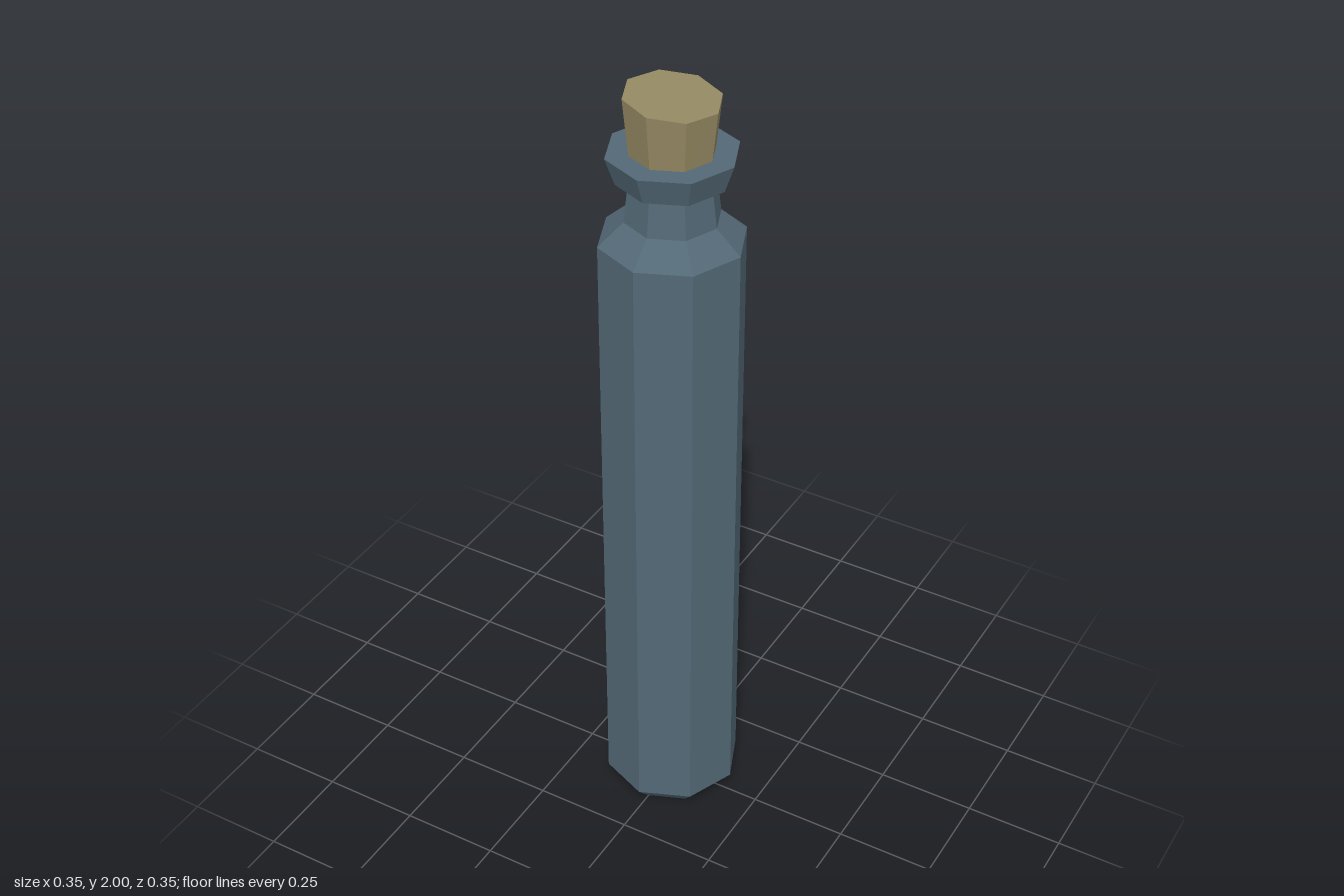
import * as THREE from 'three';

const SIDES = 8;

export function createModel() {
  const glass = new THREE.MeshStandardMaterial({ color: 0x536976, flatShading: true });
  glass.name = 'blueGreyGlass';
  const corkMat = new THREE.MeshStandardMaterial({ color: 0x958963, flatShading: true });
  corkMat.name = 'cork';

  const group = new THREE.Group();
  group.name = 'corkedVial';
  const add = (name, geometry, material) => {
    const mesh = new THREE.Mesh(geometry, material);
    mesh.name = name;
    group.add(mesh);
  };
  const lathe = (points) =>
    new THREE.LatheGeometry(points.map(([r, y]) => new THREE.Vector2(r, y)), SIDES);

  // Vial: chamfered base, long body, shoulder, neck and flared lip
  add('vial', lathe([
    [0, 0], [0.126, 0], [0.174, 0.053], [0.174, 1.637], [0.113, 1.692],
    [0.102, 1.785], [0.131, 1.79], [0.154, 1.857], [0, 1.857],
  ]), glass);

  // Stopper: widens upward, with a slanted top that is higher on -x
  const stopper = new THREE.CylinderGeometry(0.113, 0.098, 0.15, SIDES);
  stopper.translate(0, 1.913, 0);
  const pos = stopper.attributes.position;
  for (let i = 0; i < pos.count; i++) {
    if (pos.getY(i) > 1.9) pos.setY(i, 1.988 - pos.getX(i) * 0.106);
  }
  stopper.computeVertexNormals();
  add('stopper', stopper, corkMat);

  return group;
}
